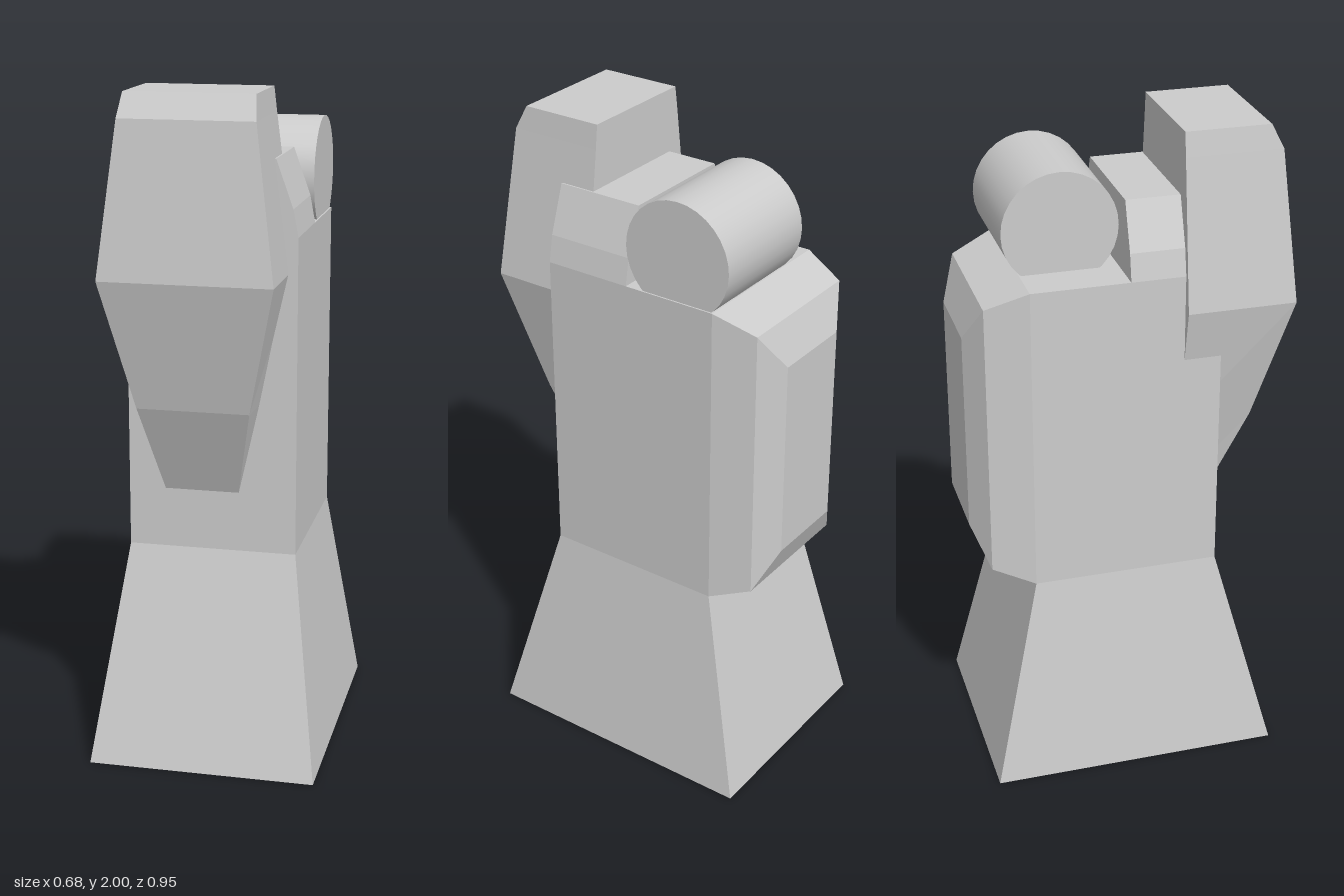
import * as THREE from 'three';

const grey = new THREE.MeshStandardMaterial({ color: 0xcccccc });
grey.name = 'grey';

// Faceted, capped solid through four-cornered rings
// (corners run anticlockwise seen from the end of the loft).
function loft(rings) {
  const pos = [];
  const quad = (a, b, c, d) => pos.push(...a, ...b, ...c, ...a, ...c, ...d);
  for (let r = 0; r < rings.length - 1; r++) {
    const low = rings[r], high = rings[r + 1];
    for (let i = 0; i < 4; i++) {
      const j = (i + 1) % 4;
      quad(low[i], low[j], high[j], high[i]);
    }
  }
  const [a, b, c, d] = rings[0];
  quad(d, c, b, a);
  quad(...rings[rings.length - 1]);
  const geometry = new THREE.BufferGeometry();
  geometry.setAttribute('position', new THREE.Float32BufferAttribute(pos, 3));
  geometry.computeVertexNormals();
  return geometry;
}

// Horizontal ring; the back edge may be wider than the front by "flare"
const level = (y, x0, x1, z0, z1, flare = 0) => [
  [x0, y, z1], [x1, y, z1], [x1 + flare, y, z0], [x0 - flare, y, z0]];

// Upright ring, for lofting towards the back
const upright = (z, x, y0, y1) => [[x, y0, z], [-x, y0, z], [-x, y1, z], [x, y1, z]];

export function createModel() {
  const group = new THREE.Group();
  const add = (name, geometry) => {
    const mesh = new THREE.Mesh(geometry, grey);
    mesh.name = name;
    group.add(mesh);
    return mesh;
  };

  // Flared foot and straight column
  add('body', loft([
    level(0, -0.34, 0.34, -0.45, 0.43),
    level(0.65, -0.25, 0.25, -0.3, 0.26),
    level(1.59, -0.25, 0.25, -0.3, 0.26),
  ]));

  // Bevelled housing on the back
  add('backHousing', loft([
    upright(-0.3, 0.25, 0.65, 1.59),
    upright(-0.425, 0.215, 0.7, 1.54),
    upright(-0.473, 0.13, 0.815, 1.425),
  ]));

  // Neck block with sloped shoulders
  const neck = new THREE.Shape([
    [-0.25, 1.59], [0.25, 1.59], [0.235, 1.67], [0.185, 1.81], [-0.185, 1.81], [-0.235, 1.67],
  ].map(([x, y]) => new THREE.Vector2(x, y)));
  add('neck', new THREE.ExtrudeGeometry(neck, { depth: 0.27, bevelEnabled: false }).translate(0, 0, -0.01));

  // Tapered face slab, slightly off centre
  add('faceSlab', loft([
    level(0.83, -0.14, 0.08, 0.15, 0.262),
    level(1.1, -0.195, 0.135, 0.15, 0.375, 0.01),
    level(1.485, -0.28, 0.222, 0.15, 0.473),
    level(1.93, -0.225, 0.165, 0.15, 0.435),
    level(2, -0.215, 0.157, 0.15, 0.4),
  ]));

  // Drum lying across the top
  const drum = add('drum', new THREE.CylinderGeometry(0.17, 0.17, 0.367, 32));
  drum.rotation.z = Math.PI / 2;
  drum.position.set(0.062, 1.715, -0.18);

  return group;
}
